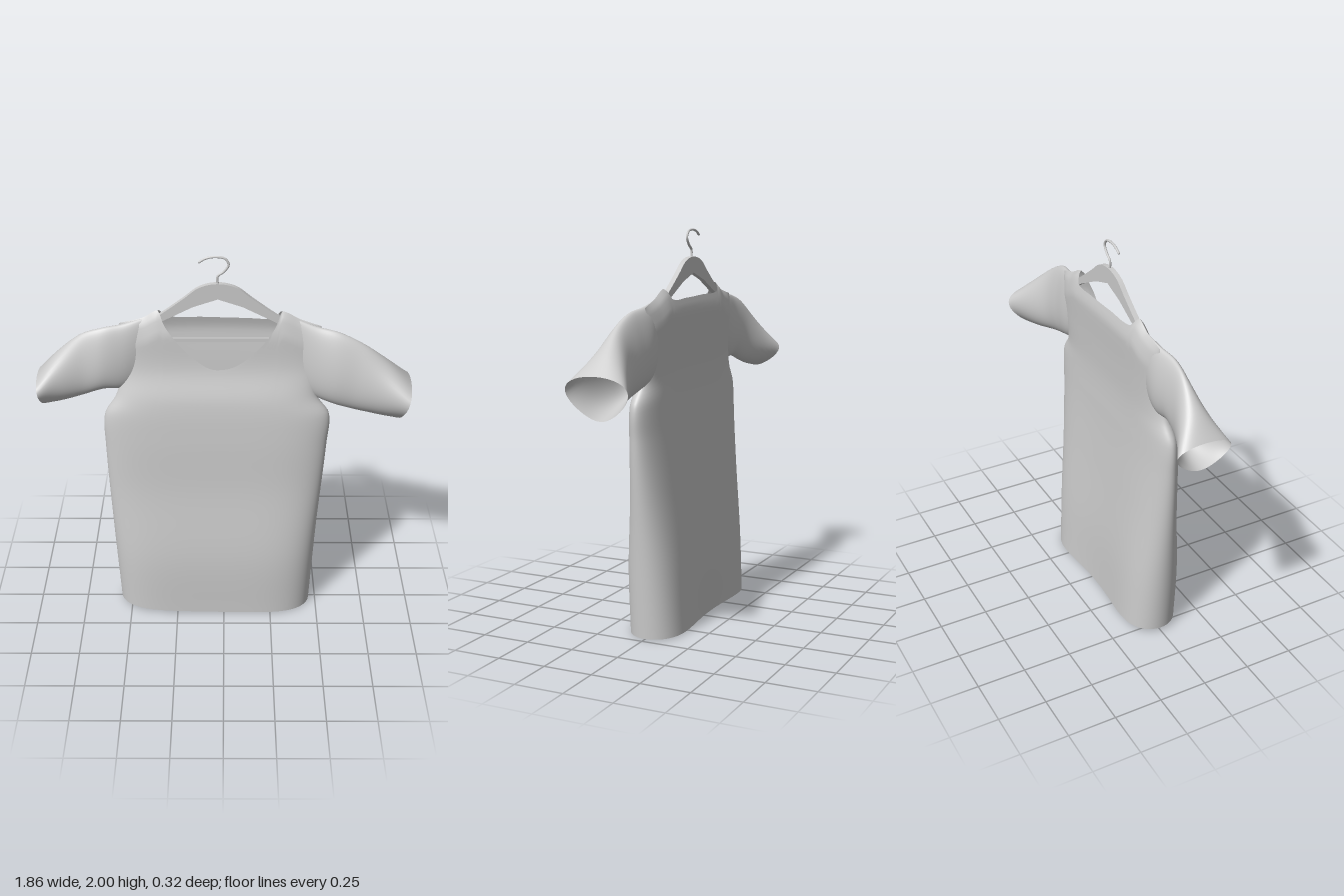
import * as THREE from 'three';

const cloth = new THREE.MeshStandardMaterial({ color: 0xcccccc, side: THREE.DoubleSide });
const grey = new THREE.MeshStandardMaterial({ color: 0xcccccc });

// Smooth lookup: rows of [key, value, value...], returns value number c at key k
function look(rows, k, c = 1) {
  const n = rows.length - 1;
  if (k <= rows[0][0]) return rows[0][c];
  if (k >= rows[n][0]) return rows[n][c];
  let i = 0;
  while (k > rows[i + 1][0]) i++;
  const slope = (j) => {
    const a = rows[Math.max(j - 1, 0)], b = rows[Math.min(j + 1, n)];
    return (b[c] - a[c]) / (b[0] - a[0]);
  };
  const a = rows[i], b = rows[i + 1], h = b[0] - a[0], t = (k - a[0]) / h;
  const s = t * t * (3 - 2 * t);
  return a[c] * (1 - s) + b[c] * s
    + h * (t * (1 - t) * (1 - t) * slope(i) - t * t * (1 - t) * slope(i + 1));
}

// Open tube of closed rings; point(i / rows, angle) gives [x, y, z]
function loft(rows, cols, point, flip = false) {
  const pos = [], idx = [];
  for (let i = 0; i <= rows; i++)
    for (let j = 0; j < cols; j++) pos.push(...point(i / rows, (j / cols) * Math.PI * 2));
  for (let i = 0; i < rows; i++)
    for (let j = 0; j < cols; j++) {
      const a = i * cols + j, b = i * cols + (j + 1) % cols, c = a + cols, d = b + cols;
      if (flip) idx.push(a, b, c, b, d, c);
      else idx.push(a, c, b, b, c, d);
    }
  const g = new THREE.BufferGeometry();
  g.setAttribute('position', new THREE.Float32BufferAttribute(pos, 3));
  g.setIndex(idx);
  g.computeVertexNormals();
  return g;
}

// Torso tables: height -> side edges, and height -> front, back, side seam depth
const sides = [[0, -0.56, 0.465], [0.5, -0.585, 0.49], [1, -0.605, 0.525], [1.17, -0.6, 0.53],
  [1.27, -0.54, 0.465], [1.4, -0.51, 0.47], [1.8, -0.52, 0.48]];
const depth = [[0, 0.16, -0.16, 0], [0.35, 0.16, -0.135, 0.01], [0.75, 0.12, -0.09, 0.02],
  [1.05, 0.105, -0.06, 0.02], [1.25, 0.085, -0.05, 0.015], [1.42, 0.04, -0.055, -0.005],
  [1.6, 0.03, -0.065, -0.015], [1.72, 0.025, -0.065, -0.015]];
// Shoulder line and necklines: x -> height
const shoulder = [[-0.52, 1.65], [-0.4, 1.68], [-0.32, 1.72], [0.28, 1.715], [0.38, 1.67], [0.48, 1.635]];
const neckFront = [[-0.32, 1.72], [-0.295, 1.65], [-0.2, 1.525], [-0.1, 1.44], [-0.03, 1.42],
  [0.07, 1.445], [0.18, 1.54], [0.255, 1.645], [0.28, 1.715]];
const neckBack = [[-0.32, 1.72], [-0.285, 1.675], [-0.1, 1.668], [0.1, 1.662], [0.25, 1.664], [0.28, 1.715]];

function torsoPoint(t, a) {
  const u = Math.cos(a), front = Math.sin(a) >= 0;
  const xTop = -0.02 + 0.5 * u;
  const ridge = look(shoulder, xTop);
  const inNeck = xTop > -0.32 && xTop < 0.28;
  const top = inNeck ? look(front ? neckFront : neckBack, xTop) : ridge;
  const hem = 0.015 - 0.01 * u - (front ? 0.005 : 0) * Math.abs(Math.sin(a));
  const y = hem + t * (top - hem);
  const l = look(sides, y, 1), r = look(sides, y, 2);
  const x = (l + r) / 2 + u * (r - l) / 2;
  const seam = look(depth, y, 3);
  let d = look(depth, y, front ? 1 : 2) - seam;
  if (!front) d += 0.04 * (1 - u * u) ** 2 * Math.max(0, 1 - y / 1.1); // dip along the back hem
  const close = Math.sqrt(THREE.MathUtils.clamp((ridge - y) / 0.12, 0, 1));
  return [x, y, seam + d * close * Math.sqrt(Math.max(0, 1 - Math.abs(u) ** 5))];
}

// Sleeve rings: [top x, top y, bottom x, bottom y, front z, back z, widening toward the top]
const leftRings = [
  [0.36, 1.67, 0.36, 1.34, 0.01, -0.04, 0], [0.46, 1.638, 0.43, 1.275, 0.05, -0.05, -0.15],
  [0.57, 1.615, 0.53, 1.235, 0.085, -0.045, -0.25], [0.69, 1.555, 0.64, 1.205, 0.1, -0.05, -0.2],
  [0.81, 1.465, 0.76, 1.175, 0.125, -0.095, 0], [0.93, 1.36, 0.875, 1.15, 0.165, -0.15, 0.35]];
const rightRings = [
  [-0.4, 1.675, -0.4, 1.36, 0.01, -0.04, 0], [-0.5, 1.65, -0.5, 1.305, 0.045, -0.05, -0.15],
  [-0.6, 1.635, -0.6, 1.305, 0.065, -0.045, -0.25], [-0.71, 1.595, -0.7, 1.27, 0.06, -0.055, -0.2],
  [-0.83, 1.495, -0.8, 1.24, 0.085, -0.095, 0], [-0.93, 1.38, -0.9, 1.22, 0.125, -0.15, 0.35]];

function sleeve(rings, flip) {
  const keyed = rings.map((r, i) => [i / (rings.length - 1), ...r]);
  return loft(32, 48, (t, a) => {
    const [tx, ty, bx, by, zf, zb, k] = [1, 2, 3, 4, 5, 6, 7].map((c) => look(keyed, t, c));
    const up = (1 + Math.cos(a)) / 2;
    const z = Math.sin(a) * (1 + k * Math.cos(a)) / (1 + 0.3 * k * k);
    return [bx + (tx - bx) * up, by + (ty - by) * up, (zf + zb) / 2 + z * (zf - zb) / 2];
  }, flip);
}

function createModel() {
  const model = new THREE.Group();
  const add = (parent, name, geo, mat) => {
    const m = new THREE.Mesh(geo, mat);
    m.name = name;
    parent.add(m);
    return m;
  };

  // Shirt
  const shirt = new THREE.Group();
  shirt.name = 'shirt';
  add(shirt, 'torso', loft(72, 240, torsoPoint), cloth);
  add(shirt, 'leftSleeve', sleeve(leftRings, true), cloth);
  add(shirt, 'rightSleeve', sleeve(rightRings, false), cloth);
  model.add(shirt);

  // Hanger, drawn around its own centre line
  const hanger = new THREE.Group();
  hanger.name = 'hanger';
  hanger.position.set(-0.03, 0, -0.018);
  const v = (x, y) => new THREE.Vector2(x, y);
  const mirror = (pts) => [...pts.map(([x, y]) => v(-x, y)).reverse(), ...pts.slice(1).map(([x, y]) => v(x, y))];
  const upper = mirror([[0, 1.86], [0.09, 1.84], [0.17, 1.78], [0.28, 1.7], [0.42, 1.61]]);
  const lower = mirror([[0, 1.78], [0.12, 1.74], [0.28, 1.66], [0.42, 1.57]]).reverse();
  const outline = new THREE.Shape();
  outline.moveTo(upper[0].x, upper[0].y);
  outline.splineThru(upper.slice(1));
  lower.forEach((p) => outline.lineTo(p.x, p.y));
  const arms = new THREE.ExtrudeGeometry(outline, { depth: 0.026, bevelEnabled: false, curveSegments: 40 });
  arms.translate(0, 0, -0.013);
  add(hanger, 'hangerArms', arms, grey);

  // Cross bar and its end posts
  add(hanger, 'crossBar', new THREE.BoxGeometry(0.84, 0.018, 0.014), grey).position.set(0, 1.56, 0);
  for (const s of [-1, 1])
    add(hanger, 'barPost', new THREE.BoxGeometry(0.02, 0.05, 0.016), grey).position.set(s * 0.41, 1.575, 0);

  // Wire hook
  const path = new THREE.CatmullRomCurve3([[0, 1.85], [0, 1.895], [0.03, 1.92], [0.052, 1.955], [0.035, 1.985],
    [-0.015, 1.994], [-0.06, 1.985], [-0.088, 1.968]].map(([x, y]) => new THREE.Vector3(x, y, 0)));
  add(hanger, 'hook', new THREE.TubeGeometry(path, 48, 0.006, 8), grey);
  add(hanger, 'hookTip', new THREE.SphereGeometry(0.006, 8, 6), grey).position.set(-0.088, 1.968, 0);
  model.add(hanger);

  return model;
}

export { createModel };
